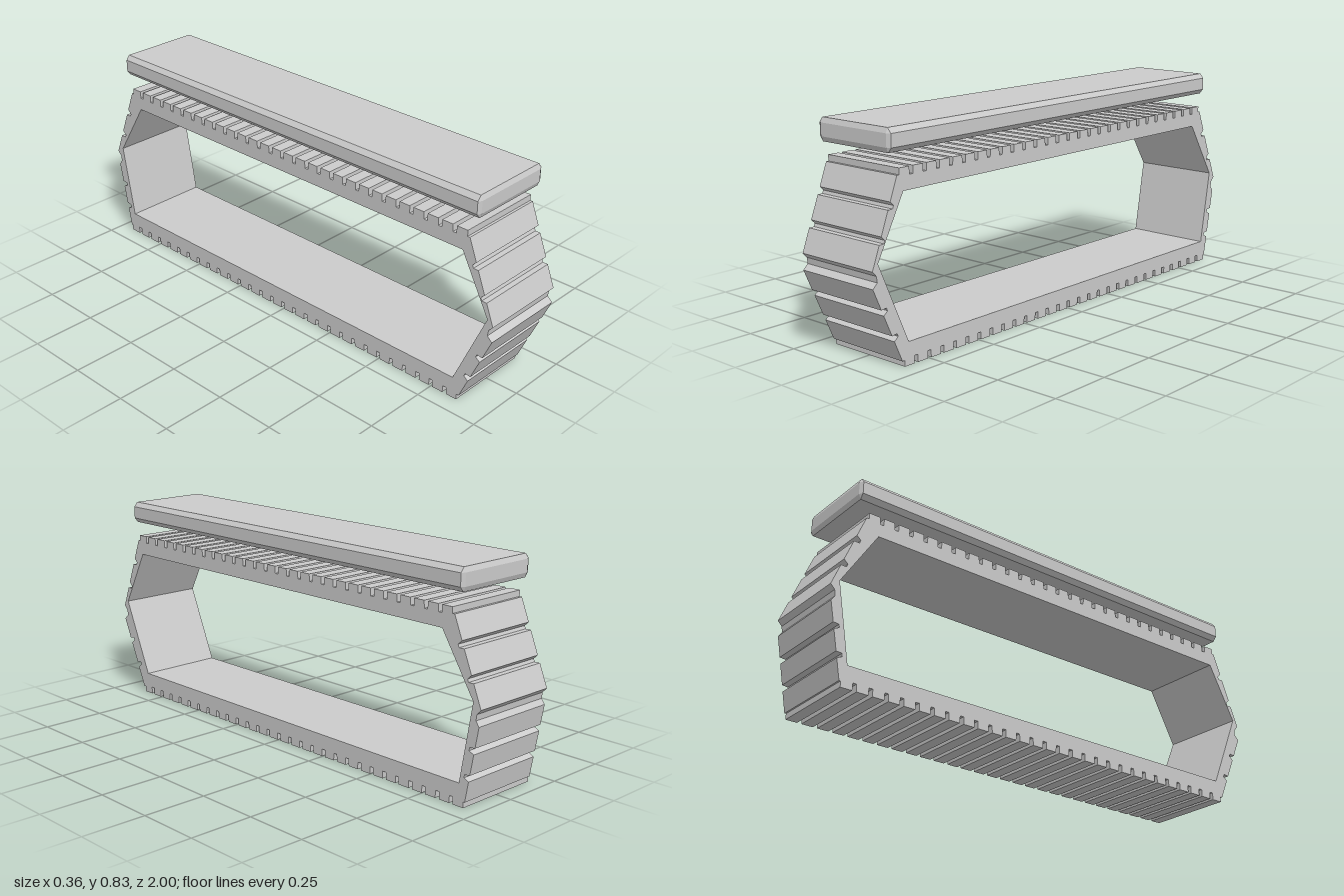
import * as THREE from 'three';
import { ConvexGeometry } from 'three/addons/geometries/ConvexGeometry.js';

const HALF_WIDTH = 0.178;
const material = new THREE.MeshStandardMaterial({ color: 0xcccccc, flatShading: true });

// One side of the belt outline from a to b: pads separated by tapered grooves.
function paddedEdge(a, b, pads, mouth, floor, depth) {
  const start = new THREE.Vector2(...a);
  const dir = new THREE.Vector2(...b).sub(start);
  const length = dir.length();
  dir.normalize();
  const inward = new THREE.Vector2(-dir.y, dir.x);
  const at = (along, deep) =>
    start.clone().addScaledVector(dir, along).addScaledVector(inward, deep);
  const points = [at(0, 0)];
  const pitch = (length + mouth) / pads;
  for (let i = 1; i < pads; i++) {
    const centre = i * pitch - mouth / 2;
    points.push(
      at(centre - mouth / 2, 0), at(centre - floor / 2, depth),
      at(centre + floor / 2, depth), at(centre + mouth / 2, 0));
  }
  points.push(at(length, 0));
  return points;
}

// Side profile in (z, y), counter-clockwise, extruded across x.
function trackBelt() {
  const p = (z, y) => new THREE.Vector2(z, y);
  const outline = [
    ...paddedEdge([-0.937, 0], [0.866, 0], 29, 0.017, 0.015, 0.028),
    p(0.866, 0.022),
    ...paddedEdge([0.876, 0.022], [1, 0.303], 3, 0.024, 0.012, 0.022),
    p(0.98, 0.322), p(0.983, 0.345),
    ...paddedEdge([1, 0.363], [0.882, 0.667], 3, 0.028, 0.012, 0.019),
    p(0.872, 0.667),
    ...paddedEdge([0.872, 0.69], [-0.866, 0.69], 28, 0.017, 0.015, 0.028),
    p(-0.866, 0.667),
    ...paddedEdge([-0.876, 0.667], [-1, 0.363], 3, 0.028, 0.012, 0.021),
    p(-0.983, 0.345), p(-0.98, 0.322),
    ...paddedEdge([-0.994, 0.303], [-0.943, 0.022], 3, 0.024, 0.012, 0.022),
    p(-0.937, 0.022),
  ];
  const shape = new THREE.Shape(outline);
  // Hexagonal opening
  shape.holes.push(new THREE.Path([
    p(0.845, 0.085), p(0.975, 0.385), p(0.855, 0.61),
    p(-0.823, 0.61), p(-0.966, 0.385), p(-0.915, 0.085),
  ]));
  const geometry = new THREE.ExtrudeGeometry(shape, { depth: 2 * HALF_WIDTH, bevelEnabled: false });
  geometry.rotateY(-Math.PI / 2).translate(HALF_WIDTH, 0, 0);
  return geometry;
}

// Box with every edge chamfered by the inset c on each axis.
function chamferedBox(h, c) {
  const points = [];
  for (const sx of [-1, 1]) for (const sy of [-1, 1]) for (const sz of [-1, 1]) {
    for (let full = 0; full < 3; full++) {
      const [x, y, z] = h.map((v, i) => (i === full ? v : v - c[i]));
      points.push(new THREE.Vector3(sx * x, sy * y, sz * z));
    }
  }
  return new ConvexGeometry(points);
}

export function createModel() {
  const group = new THREE.Group();
  group.name = 'trackAssembly';

  // Ribbed belt loop
  const belt = new THREE.Mesh(trackBelt(), material);
  belt.name = 'trackBelt';

  // Floating fender slab above the belt
  const fender = new THREE.Mesh(
    chamferedBox([HALF_WIDTH, 0.0425, 0.9085], [0.015, 0.0185, 0.008]), material);
  fender.name = 'fender';
  fender.position.set(0, 0.7845, 0.0035);

  group.add(belt, fender);
  return group;
}
